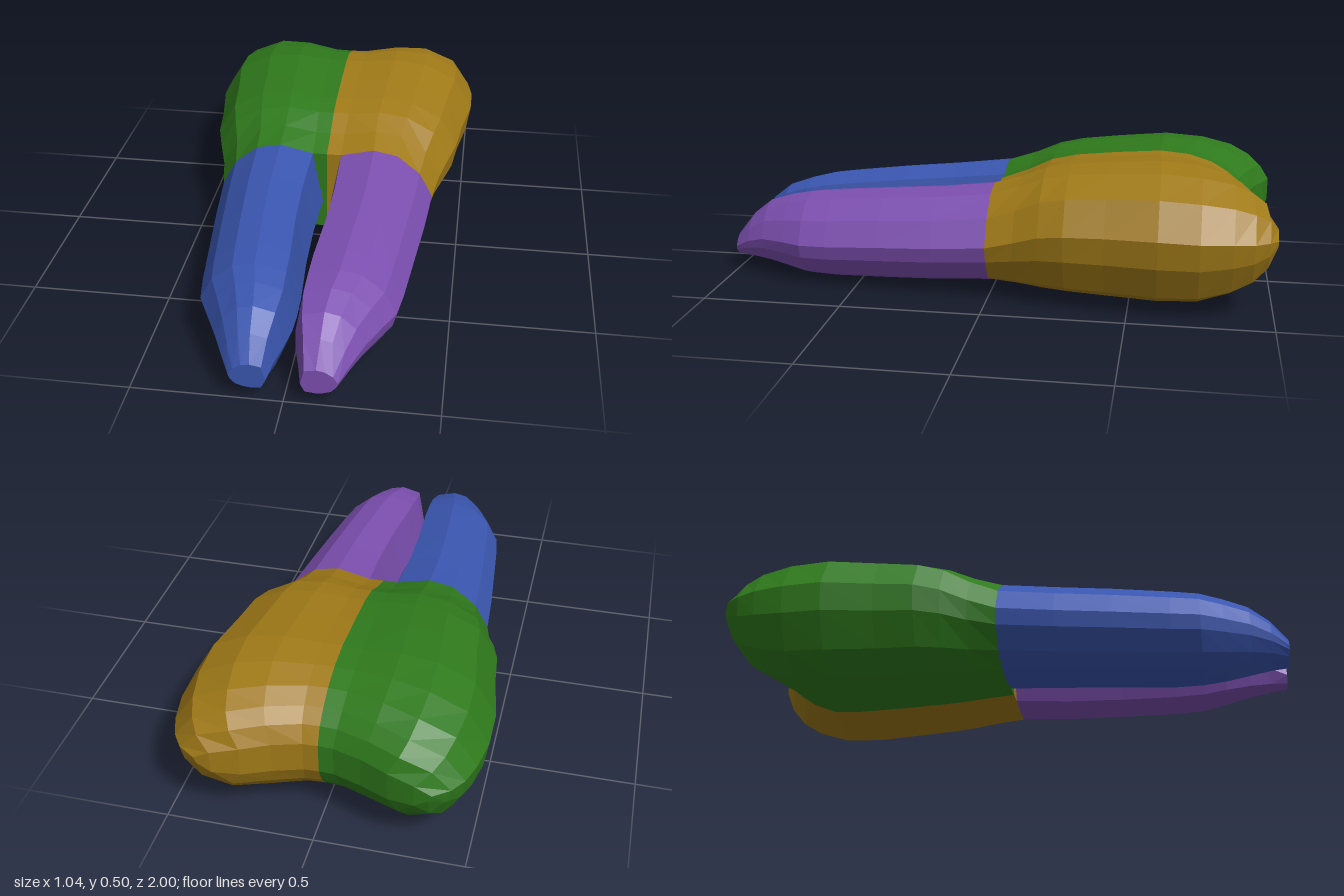
import * as THREE from 'three';

// Half cross-sections as [across, up] fractions, running from the top, round the outer side, to the bottom.
const ROOT = [[0.1, 0.92], [0.42, 1], [0.65, 0.95], [0.87, 0.76], [1, 0.5], [0.96, 0.34],
  [0.82, 0.13], [0.6, 0.03], [0.4, 0], [0.12, 0.04]];
const CROWN = [[0.13, 0.98], [0.38, 1], [0.62, 0.97], [0.86, 0.845], [1, 0.59], [0.97, 0.38],
  [0.85, 0.125], [0.62, 0.01], [0.38, 0], [0.13, 0]];

// Root stations: z, inner x, outer x, bottom y, top y
const ROOT_STATIONS = [
  [1, 0.055, 0.175, 0.05, 0.14], [0.94, 0.04, 0.21, 0.045, 0.215], [0.87, 0.02, 0.245, 0.035, 0.27],
  [0.78, 0.005, 0.29, 0.02, 0.3], [0.7, 0.003, 0.33, 0.008, 0.318], [0.6, 0.005, 0.345, 0.005, 0.33],
  [0.4, 0.018, 0.365, 0.013, 0.35], [0.2, 0.022, 0.385, 0.022, 0.367], [0, 0.015, 0.4, 0.035, 0.39],
];

// Crown stations: z, half width, bottom y, top y, blend from root to crown section
const CROWN_STATIONS = [
  [0, 0.4, 0.035, 0.39, 0], [-0.1, 0.42, 0.033, 0.42, 0.45], [-0.19, 0.45, 0.03, 0.455, 0.85],
  [-0.28, 0.475, 0.028, 0.472, 1], [-0.42, 0.49, 0.023, 0.487, 1], [-0.6, 0.52, 0.02, 0.5, 1],
  [-0.74, 0.52, 0.027, 0.49, 1], [-0.85, 0.5, 0.06, 0.465, 1], [-0.92, 0.475, 0.1, 0.43, 1],
  [-0.97, 0.44, 0.155, 0.39, 1], [-1, 0.385, 0.22, 0.33, 1],
];

const lerp = THREE.MathUtils.lerp;

function rootRing([z, inner, outer, bottom, top]) {
  const at = ([u, v]) => [lerp(inner, outer, u), lerp(bottom, top, v), z];
  return [...ROOT.map(at), at([0, 0.35])];
}

function crownRing([z, width, bottom, top, blend]) {
  const notchDepth = 0.095 * THREE.MathUtils.smoothstep(-z, 0.5, 0.97);
  const at = (x, v) => {
    // the chewing end dips between its two cusps
    const dip = notchDepth * (1 - THREE.MathUtils.smoothstep(x, 0.02, 0.34));
    return [x, lerp(bottom, top, v), z + dip];
  };
  const side = ROOT.map(([u, v], i) => at(
    lerp(lerp(0.015, width, u), width * CROWN[i][0], blend), lerp(v, CROWN[i][1], blend)));
  return [at(0, lerp(0.92, 0.98, blend)), ...side, at(0, lerp(0.04, 0, blend))];
}

// Joins successive rings with triangles
function skin(rings, closed) {
  const tris = [];
  for (let j = 0; j < rings.length - 1; j++) {
    const a = rings[j], b = rings[j + 1], n = a.length;
    for (let i = 0; i < (closed ? n : n - 1); i++) {
      const k = (i + 1) % n;
      tris.push([a[i], a[k], b[i]], [a[k], b[k], b[i]]);
    }
  }
  return tris;
}

function rootTriangles() {
  const rings = ROOT_STATIONS.map(rootRing);
  const tris = skin(rings, true);
  // blunt tip
  const tip = rings[0];
  for (let i = 1; i < tip.length - 1; i++) tris.push([tip[0], tip[i + 1], tip[i]]);
  return tris;
}

function crownTriangles() {
  const rings = CROWN_STATIONS.map(crownRing);
  const tris = skin(rings, false);
  // chewing end, closed by strips from top to bottom
  const end = rings[rings.length - 1], n = end.length;
  for (let i = 0; i < n / 2 - 1; i++) {
    const a = end[i], b = end[i + 1], c = end[n - 2 - i], d = end[n - 1 - i];
    tris.push([a, b, c], [a, c, d]);
  }
  // wall in the fork between the roots
  const front = rings[0], inner = rootRing(ROOT_STATIONS[ROOT_STATIONS.length - 1])[10];
  tris.push([inner, front[1], front[0]], [inner, front[0], front[n - 1]], [inner, front[n - 1], front[n - 2]]);
  return tris;
}

function makePart(name, tris, side, color) {
  const positions = tris.flatMap(([a, b, c]) => (side > 0 ? [a, b, c] : [a, c, b]))
    .flatMap(([x, y, z]) => [side * x, y, z]);
  const geometry = new THREE.BufferGeometry();
  geometry.setAttribute('position', new THREE.Float32BufferAttribute(positions, 3));
  geometry.computeVertexNormals();
  const mesh = new THREE.Mesh(geometry, new THREE.MeshStandardMaterial({ color, flatShading: true }));
  mesh.name = name;
  return mesh;
}

export function createModel() {
  const tooth = new THREE.Group();
  tooth.name = 'tooth';
  const crown = crownTriangles(), root = rootTriangles();
  tooth.add(
    makePart('leftCrown', crown, 1, 0xa07a18),
    makePart('rightCrown', crown, -1, 0x2f7a1c),
    makePart('leftRoot', root, 1, 0x7c4fb0),
    makePart('rightRoot', root, -1, 0x3a56b0),
  );
  return tooth;
}
